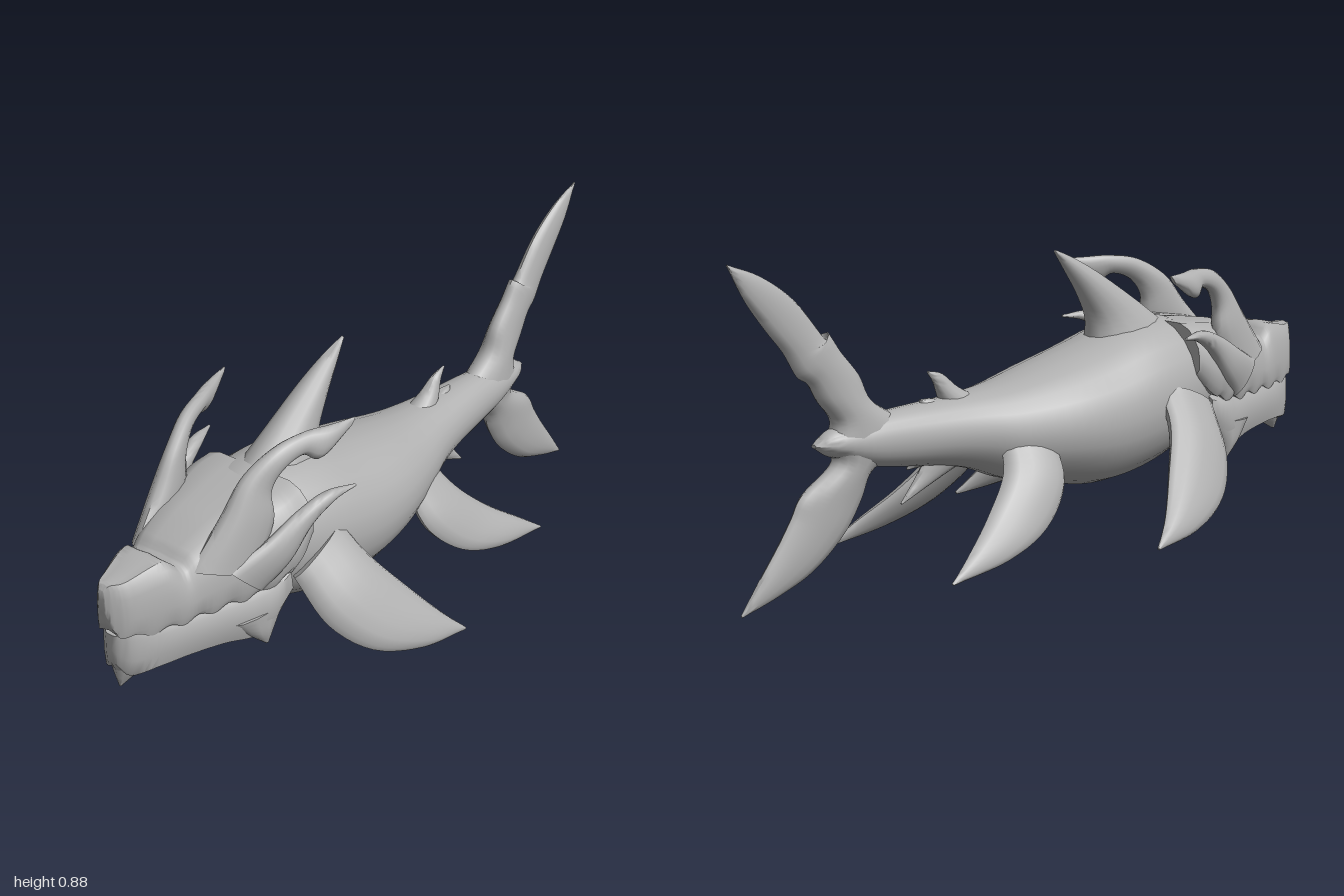
import * as THREE from 'three';
import { toCreasedNormals } from 'three/addons/utils/BufferGeometryUtils.js';

const V = (x, y, z) => new THREE.Vector3(x, y, z);
const spline = (pts) => new THREE.CatmullRomCurve3(pts, false, 'catmullrom', 0.5);

// Closed skin over a row of rings, capped at both ends and always facing outward
function loft(rings, crease) {
  const n = rings[0].length, pos = [];
  let tris = [];
  const centre = (r) => r.reduce((a, p) => a.add(p), V(0, 0, 0)).divideScalar(n);
  const pts = [...rings.flat(), centre(rings[0]), centre(rings[rings.length - 1])];
  const last = (rings.length - 1) * n, c = rings.length * n;
  for (let j = 0; j < n; j++) {
    const k = (j + 1) % n;
    for (let i = 0; i < last; i += n) {
      tris.push([i + j, i + k, i + n + k], [i + j, i + n + k, i + n + j]);
    }
    tris.push([c, k, j], [c + 1, last + j, last + k]);
  }
  const volume = tris.reduce((s, [a, b, d]) => s + pts[a].dot(V(0, 0, 0).crossVectors(pts[b], pts[d])), 0);
  if (volume < 0) tris = tris.map(([a, b, d]) => [a, d, b]);
  pts.forEach((p) => pos.push(p.x, p.y, p.z));
  const g = new THREE.BufferGeometry();
  g.setAttribute('position', new THREE.Float32BufferAttribute(pos, 3));
  g.setIndex(tris.flat());
  return toCreasedNormals(g, crease);
}

// Rings along z from [z, bottom, top, halfWidth] and a half outline of [u, v]
function hullRings(sections, outline, steps, wave = () => 0) {
  const a = spline(sections.map(([z, b, t]) => V(z, b, t)));
  const w = spline(sections.map((s) => V(s[3], 0, 0)));
  const loop = [...outline, ...outline.slice(1, -1).reverse().map(([u, v]) => [-u, v])];
  return Array.from({ length: steps + 1 }, (_, i) => {
    const p = a.getPoint(i / steps), hw = Math.max(w.getPoint(i / steps).x, 0.003);
    return loop.map(([u, v]) => V(u * hw, p.y + v * (p.z - p.y) + wave(p.x, u, v), p.x));
  });
}

// Blade rings from stations [leading point, trailing point, half thickness]
function bladeRings(stations, steps = 20, sides = 14) {
  const lead = spline(stations.map((s) => V(...s[0])));
  const trail = spline(stations.map((s) => V(...s[1])));
  const thick = spline(stations.map((s) => V(s[2], 0, 0)));
  const mid = (t) => lead.getPoint(t).add(trail.getPoint(t)).multiplyScalar(0.5);
  return Array.from({ length: steps + 1 }, (_, i) => {
    const t = i / steps, m = mid(t);
    const half = lead.getPoint(t).sub(trail.getPoint(t)).multiplyScalar(0.5);
    const span = mid(Math.min(1, t + 0.03)).sub(mid(Math.max(0, t - 0.03)));
    const normal = half.clone().cross(span).normalize();
    const h = Math.max(thick.getPoint(t).x, 0.002);
    return Array.from({ length: sides }, (_, j) => {
      const q = (j / sides) * Math.PI * 2;
      return m.clone().addScaledVector(half, Math.cos(q)).addScaledVector(normal, h * Math.sin(q));
    });
  });
}

// Stations lying in the middle plane, given as [leadZ, leadY, trailZ, trailY, half thickness]
const flat = (rows) => rows.map(([lz, ly, tz, ty, h]) => [[0, ly, lz], [0, ty, tz], h]);

export function createModel() {
  const model = new THREE.Group();
  const stone = new THREE.MeshStandardMaterial({ color: 0xb0b0b0 });
  stone.name = 'stone grey';

  const add = (name, rings, crease = 0.9) => {
    const mesh = new THREE.Mesh(loft(rings, crease), stone);
    mesh.name = name;
    model.add(mesh);
  };
  const addPair = (name, rings) => {
    add('left' + name, rings);
    add('right' + name, rings.map((r) => r.map((p) => V(-p.x, p.y, p.z))));
  };

  // Body, from inside the head to the tail root
  const oval = Array.from({ length: 13 }, (_, i) => {
    const q = (i / 12) * Math.PI;
    return [Math.sin(q) ** 0.95, 0.5 - 0.5 * Math.cos(q)];
  });
  add('body', hullRings([
    [0.7, 0.36, 0.5, 0.08], [0.55, 0.28, 0.56, 0.15], [0.45, 0.22, 0.595, 0.185],
    [0.3, 0.175, 0.59, 0.208], [0.15, 0.162, 0.55, 0.208], [0, 0.188, 0.515, 0.19],
    [-0.15, 0.225, 0.483, 0.145], [-0.25, 0.265, 0.472, 0.112], [-0.35, 0.29, 0.466, 0.09],
    [-0.5, 0.31, 0.46, 0.068], [-0.6, 0.33, 0.45, 0.056], [-0.7, 0.37, 0.43, 0.038],
    [-0.75, 0.395, 0.405, 0.01],
  ], oval, 48));

  // Skull mask with a scalloped tooth edge
  const skullOutline = [[0, 0.06], [0.6, 0.03], [0.93, 0], [1, 0.12], [1, 0.35], [0.97, 0.55],
    [0.89, 0.72], [0.78, 0.88], [0.6, 0.98], [0.3, 0.98], [0, 1]];
  const teeth = (z, u, v) => (v < 0.1 && z < 0.98 && z > 0.52 ? 0.007 * Math.sin(z * 75) : 0);
  add('skull', hullRings([
    [1, 0.44, 0.5, 0.01], [0.985, 0.38, 0.515, 0.03], [0.95, 0.36, 0.514, 0.058],
    [0.85, 0.355, 0.532, 0.1], [0.8, 0.355, 0.5, 0.114], [0.76, 0.355, 0.525, 0.126],
    [0.68, 0.355, 0.557, 0.15], [0.6, 0.357, 0.572, 0.175], [0.5, 0.385, 0.585, 0.203],
    [0.43, 0.45, 0.59, 0.195],
  ], skullOutline, 72, teeth), 0.8);

  // Lower jaw, closed against the teeth
  const jawOutline = [[0, 0], [0.4, 0.08], [0.78, 0.04], [0.9, 0.08], [1, 0.4], [0.97, 0.85],
    [0.85, 1], [0.4, 0.98], [0, 0.98]];
  add('lowerJaw', hullRings([
    [0.975, 0.27, 0.36, 0.018], [0.95, 0.235, 0.365, 0.05], [0.88, 0.24, 0.362, 0.086],
    [0.8, 0.24, 0.362, 0.112], [0.7, 0.23, 0.362, 0.14], [0.62, 0.215, 0.365, 0.168],
    [0.57, 0.225, 0.375, 0.184], [0.5, 0.29, 0.385, 0.184],
  ], jawOutline, 30), 0.8);
  add('chinSpike', bladeRings(flat([
    [0.975, 0.33, 0.86, 0.28, 0.05], [0.965, 0.25, 0.88, 0.235, 0.035], [0.955, 0.195, 0.945, 0.195, 0.003],
  ]), 8, 10));
  addPair('JawSpur', bladeRings([
    [[0.145, 0.29, 0.68], [0.17, 0.3, 0.52], 0.02], [[0.152, 0.235, 0.63], [0.168, 0.24, 0.56], 0.015],
    [[0.16, 0.195, 0.585], [0.162, 0.195, 0.575], 0.003],
  ], 8, 10));

  // Great hooked horns over the eyes
  addPair('BrowHorn', bladeRings([
    [[0.09, 0.48, 0.78], [0.15, 0.42, 0.6], 0.036], [[0.107, 0.59, 0.68], [0.155, 0.54, 0.54], 0.036],
    [[0.118, 0.675, 0.61], [0.15, 0.62, 0.54], 0.026], [[0.143, 0.73, 0.52], [0.163, 0.67, 0.51], 0.022],
    [[0.167, 0.745, 0.43], [0.178, 0.692, 0.45], 0.02], [[0.195, 0.745, 0.36], [0.198, 0.67, 0.405], 0.02],
    [[0.217, 0.745, 0.29], [0.214, 0.72, 0.31], 0.005],
  ], 32));

  // Swept cheek horns
  addPair('CheekHorn', bladeRings([
    [[0.145, 0.46, 0.7], [0.165, 0.365, 0.6], 0.02], [[0.18, 0.51, 0.59], [0.197, 0.43, 0.53], 0.024],
    [[0.2, 0.555, 0.5], [0.212, 0.51, 0.46], 0.022], [[0.22, 0.583, 0.41], [0.23, 0.555, 0.39], 0.018],
    [[0.246, 0.577, 0.325], [0.246, 0.57, 0.322], 0.003],
  ]));

  // Swimming fins, thick at the shoulder with the leading edge swung outward
  addPair('PectoralFin', bladeRings([
    [[0.18, 0.35, 0.49], [0.17, 0.43, 0.3], 0.04], [[0.265, 0.225, 0.46], [0.245, 0.34, 0.27], 0.042],
    [[0.342, 0.135, 0.37], [0.318, 0.225, 0.19], 0.033], [[0.392, 0.085, 0.22], [0.375, 0.135, 0.12], 0.02],
    [[0.408, 0.065, 0.065], [0.41, 0.072, 0.06], 0.004],
  ]));
  addPair('PelvicFin', bladeRings([
    [[0.13, 0.33, -0.05], [0.07, 0.36, -0.2], 0.03], [[0.188, 0.225, -0.07], [0.138, 0.275, -0.24], 0.034],
    [[0.23, 0.132, -0.17], [0.188, 0.18, -0.34], 0.026], [[0.251, 0.077, -0.32], [0.23, 0.108, -0.44], 0.017],
    [[0.253, 0.048, -0.51], [0.254, 0.053, -0.515], 0.004],
  ]));

  // Back and belly fins
  add('dorsalFin', bladeRings(flat([
    [0.52, 0.54, 0.19, 0.53, 0.09], [0.37, 0.645, 0.195, 0.605, 0.06], [0.23, 0.735, 0.16, 0.68, 0.04],
    [0.14, 0.785, 0.11, 0.75, 0.022], [0.07, 0.815, 0.066, 0.808, 0.004],
  ])));
  add('rearDorsalFin', bladeRings(flat([
    [-0.2, 0.45, -0.33, 0.44, 0.04], [-0.28, 0.49, -0.345, 0.475, 0.025],
    [-0.33, 0.53, -0.36, 0.51, 0.012], [-0.378, 0.543, -0.38, 0.538, 0.003],
  ]), 12));
  add('rearDorsalSpur', bladeRings(flat([
    [-0.29, 0.44, -0.41, 0.44, 0.03], [-0.36, 0.468, -0.405, 0.455, 0.015], [-0.405, 0.472, -0.407, 0.468, 0.003],
  ]), 8));
  add('bellyFin', bladeRings(flat([
    [-0.2, 0.31, -0.39, 0.32, 0.035], [-0.32, 0.265, -0.415, 0.275, 0.02], [-0.47, 0.203, -0.472, 0.208, 0.003],
  ]), 12));
  add('bellySpur', bladeRings(flat([
    [-0.35, 0.32, -0.46, 0.33, 0.03], [-0.39, 0.298, -0.45, 0.303, 0.015], [-0.45, 0.292, -0.452, 0.296, 0.003],
  ]), 8));

  // Tail flukes with notched edges
  add('upperFluke', bladeRings(flat([
    [-0.48, 0.44, -0.72, 0.39, 0.05], [-0.575, 0.5, -0.69, 0.45, 0.046], [-0.61, 0.57, -0.735, 0.51, 0.038],
    [-0.665, 0.635, -0.765, 0.56, 0.034], [-0.7, 0.685, -0.8, 0.585, 0.031], [-0.71, 0.67, -0.84, 0.65, 0.028],
    [-0.8, 0.775, -0.89, 0.71, 0.023], [-0.9, 0.845, -0.95, 0.79, 0.016], [-1, 0.885, -0.997, 0.877, 0.003],
  ]), 40));
  add('lowerFluke', bladeRings(flat([
    [-0.5, 0.34, -0.73, 0.41, 0.045], [-0.575, 0.31, -0.69, 0.35, 0.04], [-0.605, 0.24, -0.79, 0.28, 0.034],
    [-0.66, 0.16, -0.825, 0.225, 0.031], [-0.76, 0.08, -0.865, 0.165, 0.027],
    [-0.87, 0.035, -0.925, 0.085, 0.018], [-0.98, 0.002, -0.982, 0.008, 0.003],
  ]), 36));
  add('tailSpike', bladeRings(flat([
    [-0.6, 0.45, -0.6, 0.34, 0.05], [-0.7, 0.435, -0.7, 0.365, 0.035], [-0.75, 0.401, -0.75, 0.395, 0.003],
  ]), 10));
  return model;
}
